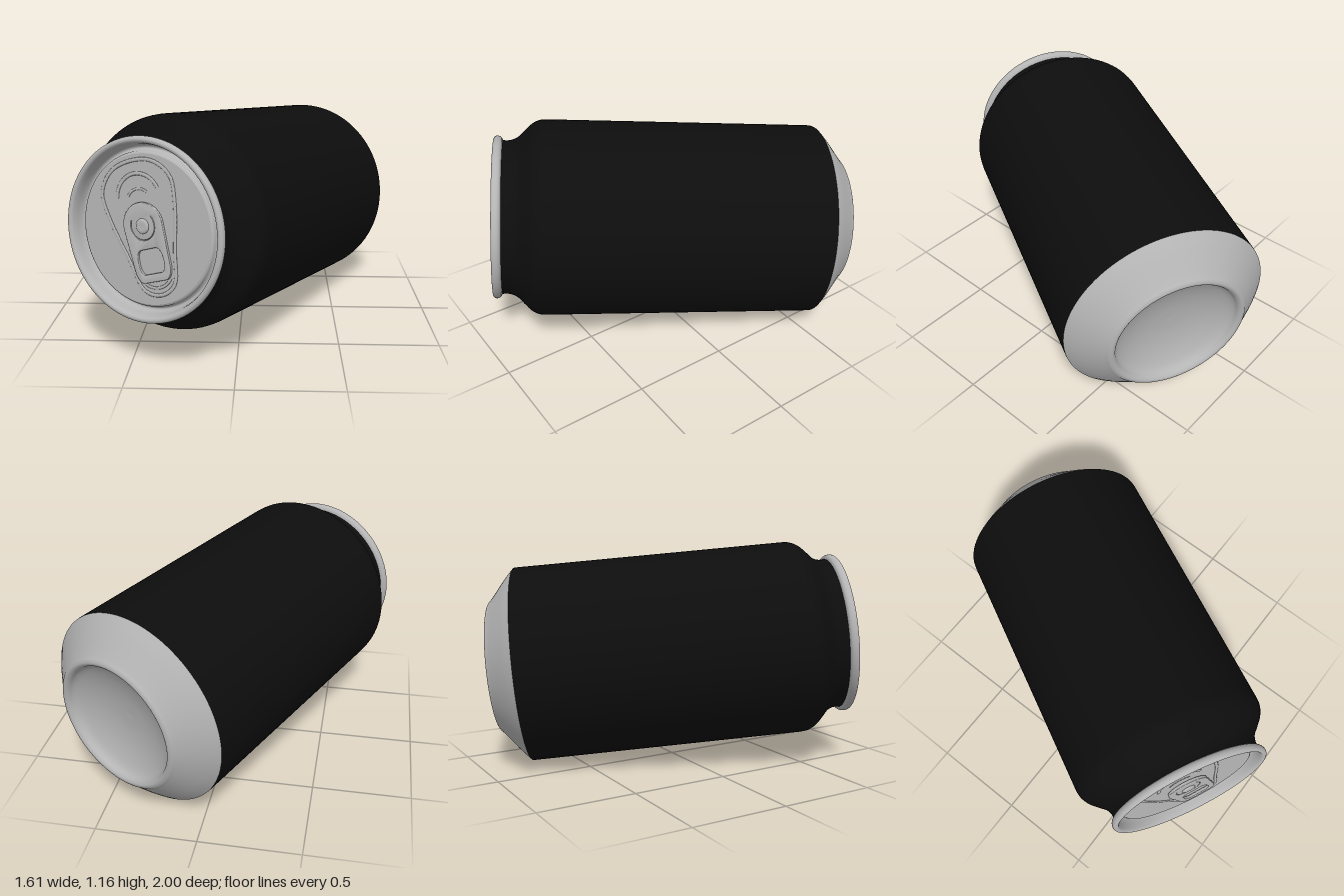
import * as THREE from 'three';
import { toCreasedNormals } from 'three/addons/utils/BufferGeometryUtils.js';

const silver = new THREE.MeshStandardMaterial({ color: 0xb4b4b4 });
silver.name = 'silver';
const black = new THREE.MeshStandardMaterial({ color: 0x0d0d0d });
black.name = 'black';

const PANEL = 0.862; // height of the lid panel along the can axis

// Smooth curve through [a, b] pairs
function smooth(points, divisions, closed = false) {
  const curve = new THREE.CatmullRomCurve3(
    points.map(([a, b]) => new THREE.Vector3(a, b, 0)), closed, 'centripetal');
  return curve.getPoints(divisions).map((p) => new THREE.Vector2(Math.max(p.x, 0), p.y));
}

function addMesh(parent, name, geometry, material) {
  const mesh = new THREE.Mesh(geometry, material);
  mesh.name = name;
  parent.add(mesh);
  return mesh;
}

const lathe = (profile) => new THREE.LatheGeometry(profile, 96);

// Low embossed ridge following [x, up] points on the lid panel
function addRidge(parent, name, points, radius, closed = false) {
  const path = new THREE.CatmullRomCurve3(
    points.map(([x, t]) => new THREE.Vector3(x, 0, -t)), closed);
  const ridge = addMesh(parent, name, new THREE.TubeGeometry(path, 72, radius, 8, closed), silver);
  ridge.scale.y = 0.45;
  ridge.position.y = PANEL;
}

function arcPoints(cy, r, fromDeg, toDeg, n = 10) {
  return Array.from({ length: n + 1 }, (_, i) => {
    const a = THREE.MathUtils.degToRad(fromDeg + ((toDeg - fromDeg) * i) / n);
    return [r * Math.cos(a), cy + r * Math.sin(a)];
  });
}

// Pull tab with a finger hole and a curved slot around the rivet tongue
function tabGeometry() {
  const s = new THREE.Shape();
  s.moveTo(-0.06, -0.235);
  s.lineTo(0.06, -0.235);
  s.quadraticCurveTo(0.085, -0.232, 0.095, -0.185);
  s.lineTo(0.104, 0.02);
  s.absarc(0, 0.02, 0.104, 0, Math.PI, false);
  s.lineTo(-0.095, -0.185);
  s.quadraticCurveTo(-0.085, -0.232, -0.06, -0.235);

  const finger = new THREE.Path();
  finger.moveTo(-0.045, -0.205);
  finger.lineTo(0.045, -0.205);
  finger.quadraticCurveTo(0.072, -0.2, 0.074, -0.155);
  finger.quadraticCurveTo(0.075, -0.085, 0.04, -0.083);
  finger.lineTo(-0.04, -0.083);
  finger.quadraticCurveTo(-0.075, -0.085, -0.074, -0.155);
  finger.quadraticCurveTo(-0.072, -0.2, -0.045, -0.205);

  const slot = new THREE.Path();
  const a0 = Math.PI * 0.8, a1 = Math.PI * 2.2;
  slot.absarc(0, 0.02, 0.07, a0, a1, false);
  slot.absarc(0, 0.02, 0.06, a1, a0, true);
  slot.closePath();
  s.holes.push(finger, slot);

  const g = new THREE.ExtrudeGeometry(s, {
    depth: 0.008, curveSegments: 20, bevelEnabled: true,
    bevelThickness: 0.004, bevelSize: 0.004, bevelSegments: 3,
  });
  g.rotateX(-Math.PI / 2);
  return toCreasedNormals(g, 0.7);
}

export function createModel() {
  const can = new THREE.Group();
  can.name = 'can';

  // Concave base, foot ring and tapered lower shoulder
  const dome = smooth([[0, -0.845], [0.1, -0.851], [0.2, -0.872], [0.28, -0.905],
    [0.305, -0.925], [0.317, -0.947], [0.332, -0.956], [0.348, -0.951], [0.361, -0.938],
    [0.39, -0.913], [0.43, -0.88], [0.475, -0.842], [0.516, -0.803]], 60);
  addMesh(can, 'base', lathe(dome), silver);

  // Straight wall, upper shoulder and neck
  const wall = [new THREE.Vector2(0.516, -0.803), new THREE.Vector2(0.517, -0.79),
    new THREE.Vector2(0.517, 0.6),
    ...smooth([[0.517, 0.63], [0.513, 0.668], [0.495, 0.705], [0.46, 0.742], [0.424, 0.778],
      [0.408, 0.81], [0.403, 0.84], [0.406, 0.862]], 36)];
  addMesh(can, 'body', lathe(wall), black);

  // Rolled rim and countersunk groove
  const rim = smooth([[0.405, 0.858], [0.42, 0.866], [0.427, 0.882], [0.424, 0.898],
    [0.412, 0.905], [0.4, 0.9], [0.393, 0.882], [0.387, 0.85], [0.38, 0.833],
    [0.37, 0.829], [0.361, 0.838], [0.356, 0.855], [0.346, PANEL]], 56);
  addMesh(can, 'rim', lathe(rim), silver);

  // Flat lid panel
  const panel = new THREE.CircleGeometry(0.347, 96);
  panel.rotateX(-Math.PI / 2);
  addMesh(can, 'lidPanel', panel, silver).position.y = PANEL;

  // Embossing on the lid
  const side = [[0.12, 0.295], [0.195, 0.21], [0.19, 0.1], [0.13, -0.12], [0.085, -0.27]];
  const mirrored = side.map(([x, t]) => [-x, t]).reverse();
  addRidge(can, 'teardropRidge', [[0, 0.32], ...side, [0, -0.305], ...mirrored], 0.009, true);
  addRidge(can, 'mouthRidge', arcPoints(0.14, 0.12, 15, 165), 0.009);
  addRidge(can, 'innerMouthRidge', arcPoints(0.12, 0.07, 40, 140), 0.006);
  addRidge(can, 'fingerWellRidge', arcPoints(-0.17, 0.1, 220, 320), 0.007);

  // Pull tab and rivet
  addMesh(can, 'pullTab', tabGeometry(), silver).position.y = PANEL + 0.006;
  const rivet = lathe(smooth([[0.036, 0], [0.034, 0.021], [0.026, 0.026], [0, 0.026]], 16));
  addMesh(can, 'rivet', rivet, silver).position.set(0, PANEL, -0.02);

  // Lean the can: axis toward the lid, with the tab rolled about it
  const axis = new THREE.Vector3(-0.4545, 0.091, 0.886).normalize();
  const right = new THREE.Vector3(0, 1, 0).cross(axis).normalize();
  right.applyAxisAngle(axis, THREE.MathUtils.degToRad(18));
  const back = new THREE.Vector3().crossVectors(right, axis);
  can.quaternion.setFromRotationMatrix(new THREE.Matrix4().makeBasis(right, axis, back));
  can.position.set(-0.018, 0.589, 0);

  const model = new THREE.Group();
  model.name = 'drinkCan';
  model.add(can);
  return model;
}
